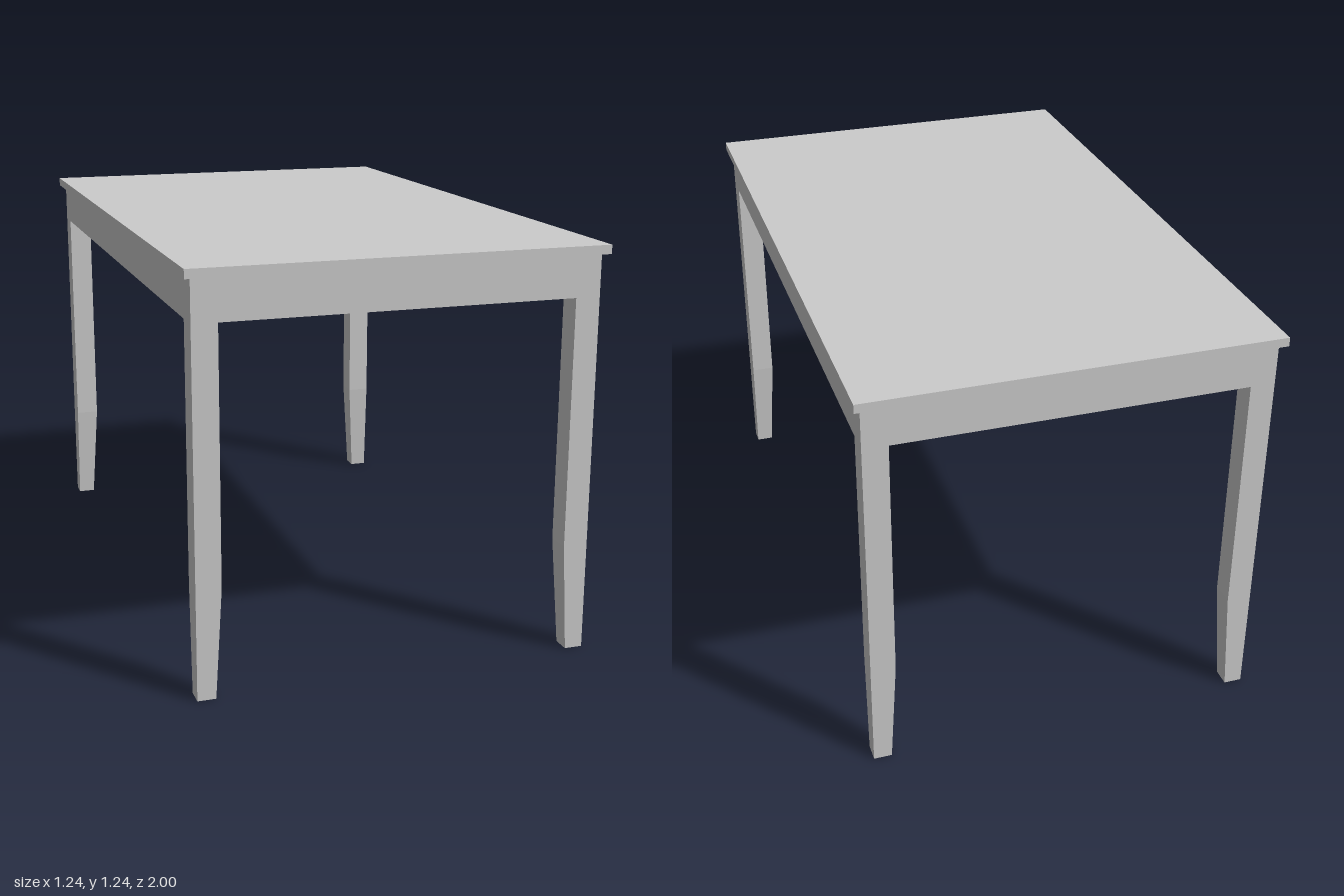
import * as THREE from 'three';

const material = new THREE.MeshStandardMaterial({ color: 0xcccccc, flatShading: true });

const TOP_Y = 1.237, APRON_TOP = 1.21, APRON_BOTTOM = 1.085;
const LEG_X = 0.602, LEG_Z = 0.98; // outer faces of the legs
const LEG = 0.075, FOOT = 0.055, TAPER_Y = 0.33;
const APRON = 0.03; // apron thickness

function box(name, w, h, d, x, y, z) {
  const mesh = new THREE.Mesh(new THREE.BoxGeometry(w, h, d), material);
  mesh.name = name;
  mesh.position.set(x, y, z);
  return mesh;
}

// Square leg: the two outer faces stay upright, the two inner faces taper to the foot
function leg(name, sx, sz) {
  const geometry = new THREE.BoxGeometry(LEG, APRON_TOP, LEG, 1, 2, 1);
  geometry.translate(0, APRON_TOP / 2, 0);
  const p = geometry.attributes.position;
  for (let i = 0; i < p.count; i++) {
    const y = p.getY(i);
    const size = y < 0.01 ? FOOT : LEG;
    const x = p.getX(i) * sx > 0 ? LEG_X : LEG_X - size;
    const z = p.getZ(i) * sz > 0 ? LEG_Z : LEG_Z - size;
    const isMiddle = y > 0.01 && y < APRON_TOP - 0.01;
    p.setXYZ(i, sx * x, isMiddle ? TAPER_Y : y, sz * z);
  }
  geometry.computeVertexNormals();
  const mesh = new THREE.Mesh(geometry, material);
  mesh.name = name;
  return mesh;
}

export function createModel() {
  const table = new THREE.Group();
  table.name = 'table';

  // Table top
  const topH = TOP_Y - APRON_TOP;
  table.add(box('tableTop', 1.244, topH, 2, 0, APRON_TOP + topH / 2, 0));

  // Legs and the aprons between them, flush with the legs' outer faces
  const apronH = APRON_TOP - APRON_BOTTOM;
  const apronY = (APRON_TOP + APRON_BOTTOM) / 2;
  for (const s of [1, -1]) {
    const end = s > 0 ? 'front' : 'back';
    table.add(leg(end + 'LeftLeg', 1, s), leg(end + 'RightLeg', -1, s));
    table.add(box(end + 'Apron', 2 * (LEG_X - LEG), apronH, APRON, 0, apronY, s * (LEG_Z - APRON / 2)));
    table.add(box(s > 0 ? 'leftApron' : 'rightApron', APRON, apronH, 2 * (LEG_Z - LEG),
      s * (LEG_X - APRON / 2), apronY, 0));
  }
  return table;
}
